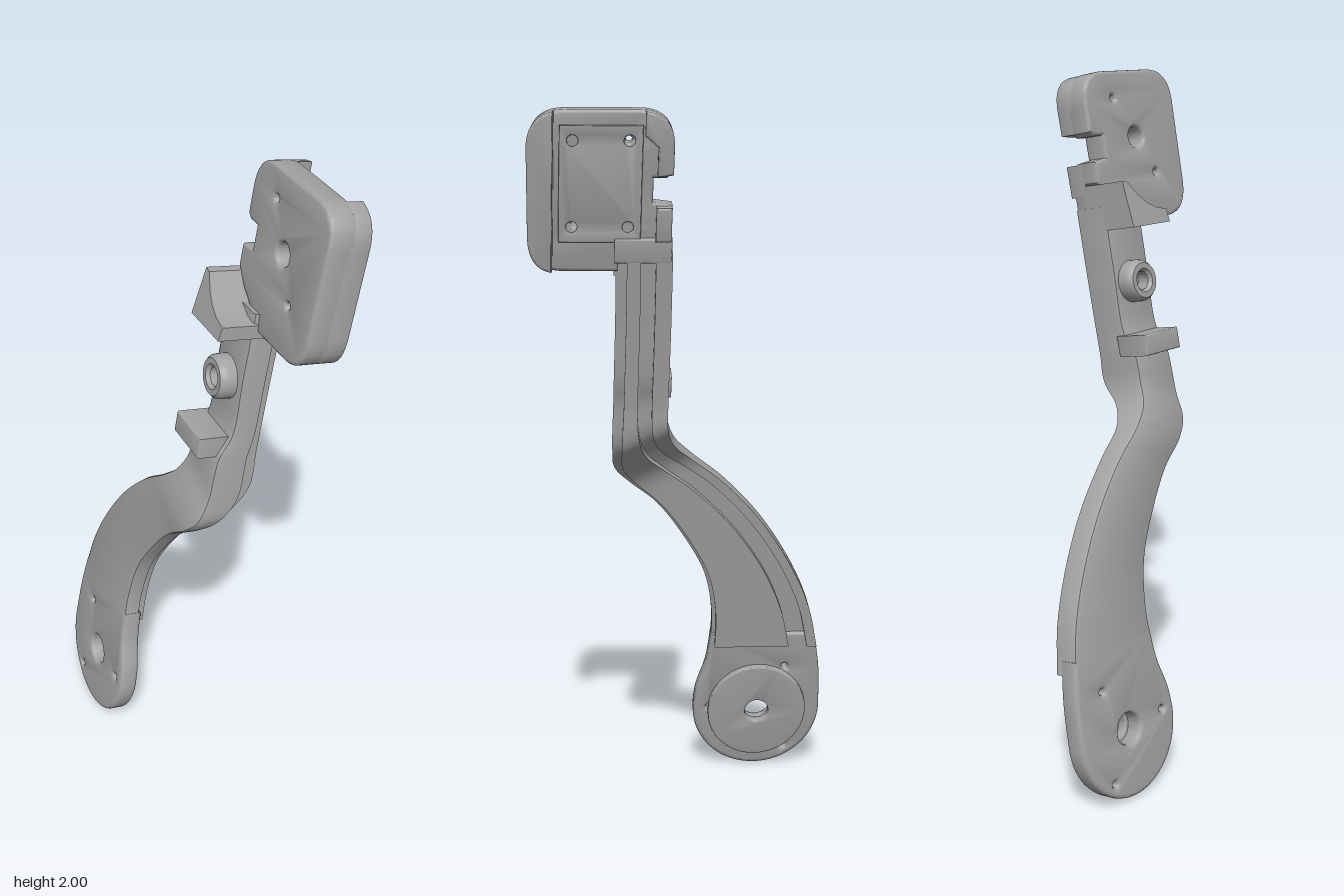
import * as THREE from 'three';
import { toCreasedNormals } from 'three/addons/utils/BufferGeometryUtils.js';

// The bracket is laid out flat (x, y, depth) and then leaned and turned as one.
const lean = new THREE.Matrix4().makeBasis(
  new THREE.Vector3(1, 0, 0.18),
  new THREE.Vector3(0, 1, -0.188),
  new THREE.Vector3(-0.173, 0.181, 0.965)
).setPosition(0, 0, 0.287);

const V2 = (p) => new THREE.Vector2(p[0], p[1]);
const polygon = (pts) => new THREE.Shape(pts.map(V2));

function addHoles(shape, holes) {
  for (const [x, y, r] of holes) {
    shape.holes.push(new THREE.Path().absarc(x, y, r, 0, Math.PI * 2, true));
  }
  return shape;
}

function box(x0, x1, y0, y1) {
  return polygon([[x0, y0], [x1, y0], [x1, y1], [x0, y1]]);
}

function disc(x, y, r) {
  return new THREE.Shape().absarc(x, y, r, 0, Math.PI * 2, false);
}

// One arm cross-section: bevelled front, stepped side, cable groove in the back.
function armSection(w, f, b, g0, g1, step) {
  const e = 0.013;
  const m = f + (b - f) * 0.66;
  return [
    [0, -f - e], [e * 0.3, -f - e * 0.3], [e, -f], [w - e, -f], [w - e * 0.3, -f - e * 0.3], [w, -f - e],
    [w, -m], [w - step, -m - 0.006], [w - step, -b],
    [g1, -b], [g1, -m], [g0, -m], [g0, -b], [0, -b],
  ];
}

// Arm swept through stations: left x, y, front depth, right x, y, back depth.
function armGeometry() {
  const stations = [
    [-0.442, 0.42, 0, -0.119, 0.42, 0.072],
    [-0.41, 0.55, 0, -0.118, 0.53, 0.072],
    [-0.35, 0.68, 0, -0.09, 0.66, 0.072],
    [-0.25, 0.83, 0, -0.022, 0.78, 0.072],
    [-0.13, 0.955, 0, 0.06, 0.885, 0.072],
    [-0.04, 1.025, 0, 0.14, 0.95, 0.08],
    [0.015, 1.08, 0.012, 0.185, 1.005, 0.12],
    [0.037, 1.14, 0.03, 0.193, 1.08, 0.172],
    [0.04, 1.22, 0.038, 0.193, 1.21, 0.174],
    [0.04, 1.28, 0.067, 0.193, 1.28, 0.174],
    [0.04, 1.45, 0.067, 0.193, 1.45, 0.174],
    [0.042, 1.64, 0.067, 0.195, 1.64, 0.174],
  ];
  const left = new THREE.CatmullRomCurve3(stations.map((s) => new THREE.Vector3(s[0], s[1], s[2])));
  const right = new THREE.CatmullRomCurve3(stations.map((s) => new THREE.Vector3(s[3], s[4], s[5])));
  const rows = 66;
  const pos = [];
  const index = [];
  let n = 0;
  let section;
  for (let i = 0; i <= rows; i++) {
    const t = i / rows;
    const a = left.getPoint(t);
    const b = right.getPoint(t);
    const w = Math.hypot(b.x - a.x, b.y - a.y);
    const k = THREE.MathUtils.smoothstep(t, 0.35, 0.65);
    section = armSection(w, a.z, b.z, 0.03 + 0.015 * k, 0.085, 0.012 + 0.018 * k);
    n = section.length;
    for (const [s, d] of section) {
      pos.push(a.x + (b.x - a.x) * s / w, a.y + (b.y - a.y) * s / w, d);
    }
  }
  for (let i = 0; i < rows; i++) {
    for (let j = 0; j < n; j++) {
      const p = i * n + j;
      const q = i * n + (j + 1) % n;
      index.push(p, q, q + n, p, q + n, p + n);
    }
  }
  for (const base of [0, rows * n]) {
    for (const f of THREE.ShapeUtils.triangulateShape(section.map(V2), [])) {
      index.push(base + f[0], base + f[1], base + f[2]);
    }
  }
  const g = new THREE.BufferGeometry();
  g.setAttribute('position', new THREE.Float32BufferAttribute(pos, 3));
  g.setIndex(index);
  return g;
}

export function createModel() {
  const group = new THREE.Group();
  group.name = 'bracketArm';
  const metal = new THREE.MeshStandardMaterial({ color: 0xa3a3a3, side: THREE.DoubleSide });
  metal.name = 'grey metal';

  function add(name, geometry) {
    const mesh = new THREE.Mesh(toCreasedNormals(geometry.applyMatrix4(lean), 0.6), metal);
    mesh.name = name;
    group.add(mesh);
  }

  // Plate between a front and a back depth, with optional rounded edges
  function plate(name, shape, front, back, bevel = 0) {
    const g = new THREE.ExtrudeGeometry(shape, {
      depth: front - back - 2 * bevel, curveSegments: 20,
      bevelEnabled: bevel > 0, bevelSize: bevel, bevelThickness: bevel, bevelOffset: -bevel, bevelSegments: 3,
    });
    add(name, g.translate(0, 0, back + bevel));
  }

  // Round hub at the foot with its bored holes
  const hub = new THREE.Shape();
  hub.absarc(-0.27, 0.205, 0.195, Math.PI, Math.PI * 2, false);
  hub.splineThru([[-0.082, 0.27], [-0.108, 0.36], [-0.119, 0.46]].map(V2));
  hub.lineTo(-0.434, 0.46);
  hub.splineThru([[-0.456, 0.34], [-0.465, 0.205]].map(V2));
  addHoles(hub, [[-0.27, 0.205, 0.046], [-0.35, 0.345, 0.009], [-0.125, 0.21, 0.009], [-0.36, 0.075, 0.009]]);
  plate('hub', hub, 0, -0.06, 0.012);
  plate('hubBackDisc', addHoles(disc(-0.27, 0.205, 0.15), [[-0.27, 0.205, 0.036]]), -0.05, -0.08, 0.004);

  add('arm', armGeometry());

  // Front fittings on the upper bar
  plate('lowerTab', box(0.03, 0.178, 1.215, 1.275), 0.02, -0.09, 0.006);
  const ring = [[0.026, -0.08], [0.026, -0.03], [0.034, -0.02], [0.05, -0.02], [0.058, -0.03], [0.06, -0.045], [0.06, -0.08]];
  add('screwBoss', new THREE.LatheGeometry(ring.map(V2), 32).rotateX(Math.PI / 2).translate(0.112, 1.422, 0));

  const wedge = polygon([[0.042, 1.575], [0.2, 1.575], [0.2, 1.612], [0.16, 1.62], [0.125, 1.637], [0.095, 1.662], [0.065, 1.7], [0.046, 1.704]]);
  const wedgeGeo = new THREE.ExtrudeGeometry(wedge, { depth: 0.165, bevelEnabled: false }).translate(0, 0, -0.135);
  // The wedge front slopes back toward its top
  const p = wedgeGeo.attributes.position;
  for (let i = 0; i < p.count; i++) {
    if (p.getZ(i) > 0) p.setZ(i, 0.032 - (p.getY(i) - 1.575) * 0.15);
  }
  wedgeGeo.computeVertexNormals();
  add('wedge', wedgeGeo);

  // Head: rounded block with a side notch
  const head = new THREE.Shape();
  head.moveTo(0.19, 1.59);
  head.lineTo(0.34, 1.59);
  head.quadraticCurveTo(0.428, 1.592, 0.43, 1.69);
  head.lineTo(0.434, 1.92);
  head.quadraticCurveTo(0.434, 2.012, 0.34, 2.014);
  head.lineTo(0.14, 2.014);
  head.quadraticCurveTo(0.048, 2.012, 0.048, 1.92);
  for (const q of [[0.048, 1.85], [0.065, 1.838], [0.1, 1.838], [0.1, 1.775], [0.048, 1.768], [0.048, 1.71], [0.09, 1.664], [0.14, 1.632], [0.19, 1.618]]) head.lineTo(...q);
  addHoles(head, [[0.242, 1.825, 0.03], [0.168, 1.938, 0.009], [0.307, 1.72, 0.009]]);
  plate('head', head, -0.08, -0.155, 0.01);

  // Raised rims around the back of the head
  const sideRim = new THREE.Shape();
  sideRim.moveTo(0.365, 1.594);
  sideRim.quadraticCurveTo(0.428, 1.605, 0.43, 1.69);
  sideRim.lineTo(0.434, 1.92);
  sideRim.quadraticCurveTo(0.434, 1.995, 0.365, 2.012);
  plate('headSideRim', sideRim, -0.13, -0.198, 0.006);
  const cornerRim = new THREE.Shape();
  cornerRim.moveTo(0.048, 1.85);
  cornerRim.lineTo(0.09, 1.845);
  cornerRim.lineTo(0.09, 1.92);
  cornerRim.lineTo(0.125, 1.95);
  cornerRim.lineTo(0.125, 2.012);
  cornerRim.quadraticCurveTo(0.048, 2.005, 0.048, 1.92);
  plate('headCornerRim', cornerRim, -0.13, -0.195, 0.006);
  plate('headLowerRim', box(0.048, 0.09, 1.675, 1.765), -0.13, -0.195, 0.006);
  plate('headBottomLip', box(0.045, 0.2, 1.615, 1.68), -0.1, -0.175, 0.004);

  // Square mounting plate with four screw holes
  const corners = [0.165, 0.315].flatMap((x) => [1.71, 1.935].map((y) => [x, y, 0.015]));
  plate('mountingPlate', addHoles(box(0.13, 0.35, 1.67, 1.975), corners), -0.145, -0.165, 0.003);

  return group;
}
